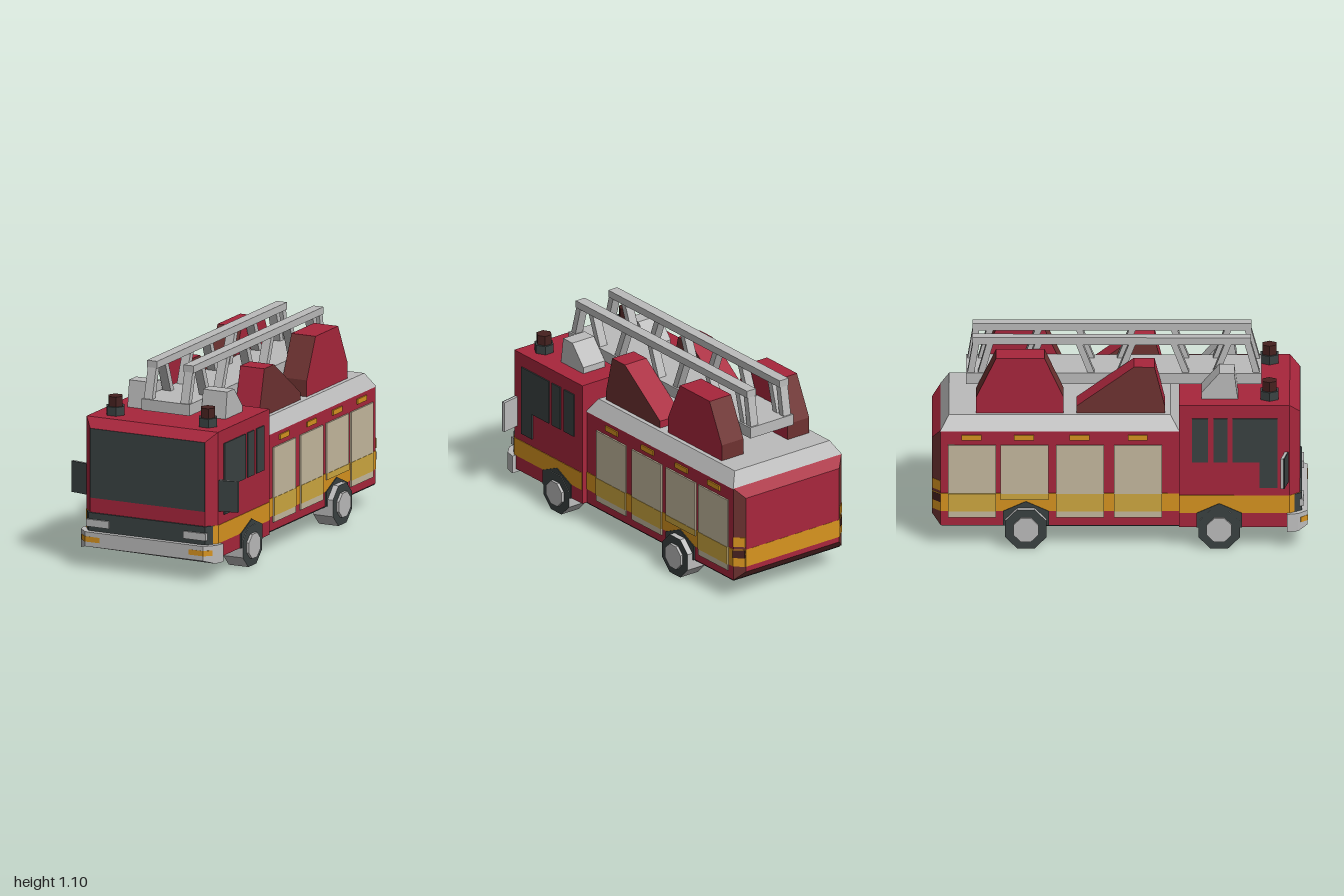
import * as THREE from 'three';

const mat = (name, color) => {
  const m = new THREE.MeshStandardMaterial({ color });
  m.name = name;
  return m;
};

export function createModel() {
  const red = mat('red paint', 0xa8263c);
  const brown = mat('brown red', 0x6e3231);
  const grey = mat('light grey', 0xbcbcbc);
  const dark = mat('dark glass', 0x3a4242);
  const under = mat('underside black', 0x22282a);
  const orange = mat('orange stripe', 0xd8941f);
  const beige = mat('shutter beige', 0xc6ba9f);
  const mustard = mat('shutter stripe', 0xcfa840);
  const maroon = mat('lamp maroon', 0x46211f);

  const model = new THREE.Group();
  model.name = 'fireEngine';

  // Adds a mesh with faceted normals
  const add = (name, geo, material) => {
    const g = geo.index ? geo.toNonIndexed() : geo;
    g.computeVertexNormals();
    const mesh = new THREE.Mesh(g, material);
    mesh.name = name;
    model.add(mesh);
    return mesh;
  };
  // Box given by its limits
  const boxGeo = (x0, x1, y0, y1, z0, z1) =>
    new THREE.BoxGeometry(x1 - x0, y1 - y0, z1 - z0)
      .translate((x0 + x1) / 2, (y0 + y1) / 2, (z0 + z1) / 2);
  const box = (name, m, ...lim) => add(name, boxGeo(...lim), m);
  // Same box on both sides
  const pair = (name, m, x0, x1, ...lim) => {
    box(name + 'Left', m, x0, x1, ...lim);
    box(name + 'Right', m, -x1, -x0, ...lim);
  };
  // Box whose vertices are moved by a rule
  const shaped = (name, m, lim, rule) => {
    const g = boxGeo(...lim), p = g.attributes.position, v = new THREE.Vector3();
    for (let i = 0; i < p.count; i++) {
      rule(v.fromBufferAttribute(p, i));
      p.setXYZ(i, v.x, v.y, v.z);
    }
    return add(name, g, m);
  };
  // Side profile of [z, y] points, extruded from x0 to x1
  const profile = (name, m, pts, x0, x1) => {
    const s = new THREE.Shape(pts.map(([z, y]) => new THREE.Vector2(-z, y)));
    const g = new THREE.ExtrudeGeometry(s, { depth: x1 - x0, bevelEnabled: false });
    return add(name, g.rotateY(Math.PI / 2).translate(x0, 0, 0), m);
  };
  const profilePair = (name, m, pts, x0, x1) => {
    profile(name + 'Left', m, pts, x0, x1);
    profile(name + 'Right', m, pts, -x1, -x0);
  };

  // Cab with bevelled nose
  box('cab', red, -0.395, 0.395, 0.12, 0.81, 0.315, 0.905);
  shaped('cabNose', red, [-0.395, 0.395, 0.12, 0.81, 0.905, 0.96], v => {
    if (v.z > 0.95) {
      v.x = Math.sign(v.x) * 0.345;
      if (v.y > 0.5) v.y = 0.76;
    }
  });
  box('windscreen', dark, -0.345, 0.345, 0.38, 0.76, 0.958, 0.963);
  pair('cabStripe', orange, 0.392, 0.398, 0.2, 0.3, 0.318, 0.905);
  shaped('noseStripe', orange, [-0.398, 0.398, 0.2, 0.3, 0.905, 0.962], v => {
    if (v.z > 0.95) v.x = Math.sign(v.x) * 0.348;
  });
  shaped('grille', dark, [-0.38, 0.38, 0.19, 0.3, 0.93, 0.97], v => {
    if (v.z > 0.95) v.x = Math.sign(v.x) * 0.35;
  });
  pair('headlight', grey, 0.225, 0.36, 0.225, 0.265, 0.95, 0.98);

  // Side windows
  profilePair('doorWindow', dark,
    [[0.84, 0.735], [0.84, 0.345], [0.745, 0.345], [0.745, 0.49], [0.6, 0.49], [0.6, 0.735]], 0.394, 0.402);
  pair('middleWindow', dark, 0.394, 0.402, 0.49, 0.735, 0.5, 0.575);
  pair('crewWindow', dark, 0.394, 0.402, 0.49, 0.735, 0.385, 0.47);

  // Bumper with bevelled corners and raised lower lip
  const half = [[0.42, 0.89], [0.405, 0.95], [0.355, 1]];
  const plan = [...half, ...half.map(([x, z]) => [-x, z]).reverse()];
  const bumper = new THREE.ExtrudeGeometry(
    new THREE.Shape(plan.map(([x, z]) => new THREE.Vector2(x, -z))), { depth: 0.1, bevelEnabled: false });
  bumper.rotateX(-Math.PI / 2).translate(0, 0.1, 0);
  const bp = bumper.attributes.position;
  for (let i = 0; i < bp.count; i++) if (bp.getY(i) < 0.15 && bp.getZ(i) > 0.98) bp.setY(i, 0.12);
  add('bumper', bumper, grey);
  pair('indicatorFront', orange, 0.268, 0.355, 0.146, 0.175, 0.994, 1.001);
  for (const s of [1, -1]) {
    const corner = add('indicatorCorner', new THREE.BoxGeometry(0.052, 0.029, 0.006), orange);
    corner.position.set(s * 0.373, 0.1605, 0.982);
    corner.rotation.y = s * Math.PI / 4;

    // Wing mirror
    const mirror = new THREE.Group();
    mirror.name = 'mirror';
    const shell = add('mirrorShell', new THREE.BoxGeometry(0.11, 0.17, 0.014), grey);
    const face = add('mirrorFront', new THREE.BoxGeometry(0.11, 0.17, 0.006), dark);
    face.position.z = 0.01;
    mirror.add(shell, face);
    mirror.position.set(s * 0.445, 0.46, 0.875);
    mirror.rotation.y = s * 0.2;
    model.add(mirror);

    // Roof beacon
    const hex = (name, r, y0, y1, m) =>
      add(name, new THREE.CylinderGeometry(r, r, y1 - y0, 6, 1, false, Math.PI / 6)
        .translate(s * 0.278, (y0 + y1) / 2, 0.797), m);
    hex('beaconBase', 0.055, 0.81, 0.858, dark);
    hex('beaconLamp', 0.043, 0.858, 0.912, maroon);
  }

  // Equipment body, bevelled tail and roof
  box('body', red, -0.365, 0.365, 0.12, 0.655, -0.955, 0.32);
  shaped('bodyTail', [brown, brown, red, brown, red, red], [-0.365, 0.365, 0.12, 0.655, -1, -0.955], v => {
    if (v.z < -0.98) {
      v.x = Math.sign(v.x) * 0.315;
      v.y = v.y > 0.4 ? 0.6 : 0.17;
    }
  });
  shaped('bodyRoof', grey, [-0.368, 0.368, 0.652, 0.73, -0.957, 0.318], v => {
    if (v.y > 0.7) {
      v.x = Math.sign(v.x) * 0.32;
      v.z = v.z > 0 ? 0.27 : -0.91;
    }
  });
  pair('bodyStripe', orange, 0.36, 0.368, 0.2, 0.3, -0.955, 0.32);
  const tailBand = (name, m, y0, y1, out) =>
    shaped(name, m, [-0.365 - out, 0.365 + out, y0, y1, -0.998, -0.955], v => {
      if (v.z < -0.98) v.x = Math.sign(v.x) * (0.317 + out);
    });
  tailBand('tailStripeSides', orange, 0.2, 0.3, 0.003);
  box('tailStripe', orange, -0.317, 0.317, 0.2, 0.3, -1.001, -0.99);
  tailBand('tailLampUpper', orange, 0.315, 0.37, 0.004);
  tailBand('tailLampMiddle', maroon, 0.25, 0.295, 0.005);
  box('underside', under, -0.36, 0.36, 0.113, 0.121, -0.95, 0.9);

  // Shutters with stripe and marker lamp
  [[-0.03, 0.165], [-0.34, 0.165], [-0.635, 0.265], [-0.915, 0.165]].forEach(([z, y]) => {
    pair('shutter', beige, 0.36, 0.374, y, 0.575, z, z + 0.255);
    pair('shutterStripe', mustard, 0.37, 0.376, Math.max(y, 0.2), 0.3, z, z + 0.255);
    pair('markerLamp', orange, 0.36, 0.373, 0.602, 0.63, z + 0.073, z + 0.178);
  });

  // Wheels, arches and axles
  const octagon = (name, m, r, x0, x1, z) =>
    add(name, new THREE.CylinderGeometry(r, r, x1 - x0, 8, 1, false, Math.PI / 8)
      .rotateZ(Math.PI / 2).translate((x0 + x1) / 2, 0.11, z), m);
  for (const [z, x] of [[0.53, 0.394], [-0.5, 0.364]]) {
    const arch = [[0.122, 0.119], [0.122, 0.2], [0, 0.255], [-0.122, 0.2], [-0.122, 0.119]];
    profilePair('wheelArch', dark, arch.map(([dz, y]) => [z + dz, y]), x, x + 0.009);
    octagon('axle', under, 0.054, -0.29, 0.29, z);
    for (const s of [1, -1]) {
      const span = (a, b) => (s > 0 ? [a, b] : [-b, -a]);
      octagon('tyre', [grey, dark, dark], 0.119, ...span(0.287, 0.405), z);
      octagon('hub', grey, 0.072, ...span(0.4, 0.42), z);
    }
  }

  // Roof lockers and ladder rests
  profilePair('frontLocker', [brown, red],
    [[0.24, 0.725], [0.24, 0.77], [0.185, 0.99], [0.075, 0.99], [-0.23, 0.77], [-0.23, 0.725]], 0.15, 0.295);
  profilePair('rearLocker', [red, brown],
    [[-0.3, 0.725], [-0.3, 0.82], [-0.4, 1.037], [-0.66, 1.037], [-0.765, 0.82], [-0.765, 0.725]], 0.15, 0.295);
  pair('rearLockerTop', red, 0.15, 0.295, 1.036, 1.04, -0.66, -0.4);
  profilePair('ladderRest', grey,
    [[0.63, 0.805], [0.61, 0.955], [0.53, 0.955], [0.435, 0.845], [0.435, 0.805]], 0.15, 0.295);

  // Ladder: base, rails and slanted struts
  box('ladderBase', grey, -0.145, 0.145, 0.838, 0.9, -0.82, 0.755);
  pair('ladderRail', grey, 0.08, 0.14, 1.06, 1.1, -0.785, 0.7);
  const struts = [[0.68, 0.73], [0.58, 0.51], [0.285, 0.355], [0.07, 0], [-0.22, -0.15],
    [-0.43, -0.5], [-0.69, -0.74], [-0.765, -0.795]];
  for (const [top, foot] of struts) {
    profilePair('ladderStrut', grey,
      [[top + 0.018, 1.07], [top - 0.018, 1.07], [foot - 0.018, 0.89], [foot + 0.018, 0.89]], 0.085, 0.135);
  }
  return model;
}
